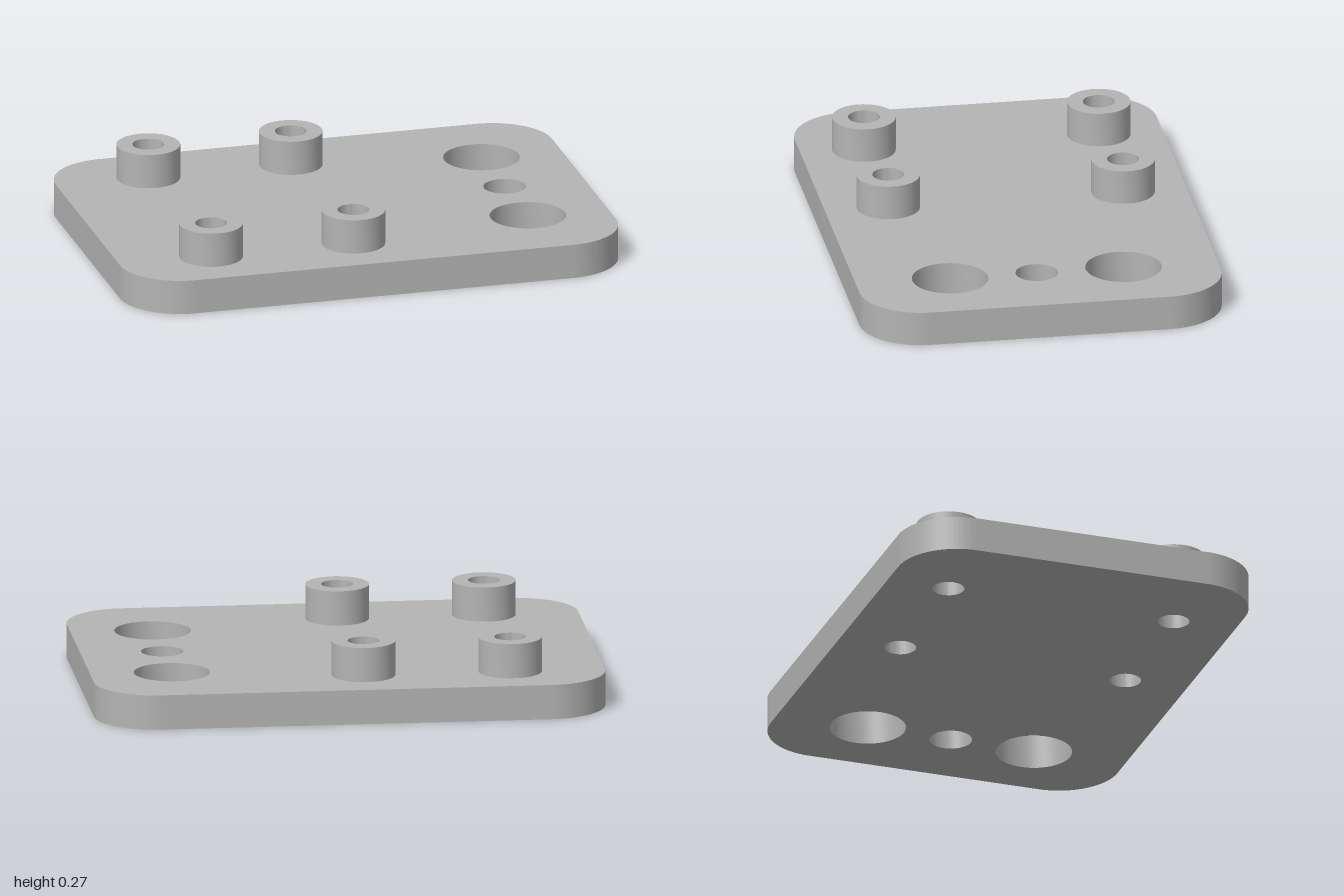
import * as THREE from 'three';
import { toCreasedNormals } from 'three/addons/utils/BufferGeometryUtils.js';

const HALF_X = 1, HALF_Z = 0.713, CORNER = 0.24;
const THICK = 0.137, BOSS_TOP = 0.274;
const BOSS_R = 0.124, BORE_R = 0.062;
const bosses = [-0.63, -0.056].flatMap(x => [-0.463, 0.463].map(z => [x, z]));

// Rounded rectangle, drawn in the plan of the plate
function plateOutline() {
  const s = new THREE.Shape();
  const x = HALF_X - CORNER, z = HALF_Z - CORNER;
  s.absarc(x, z, CORNER, 0, Math.PI / 2);
  s.absarc(-x, z, CORNER, Math.PI / 2, Math.PI);
  s.absarc(-x, -z, CORNER, Math.PI, Math.PI * 1.5);
  s.absarc(x, -z, CORNER, Math.PI * 1.5, Math.PI * 2);
  s.closePath();
  return s;
}

function hole(x, z, r) {
  return new THREE.Path().absarc(x, -z, r, 0, Math.PI * 2, true);
}

export function createModel() {
  const group = new THREE.Group();
  group.name = 'mountingPlate';
  const grey = new THREE.MeshStandardMaterial({ color: 0xb4b4b4 });
  grey.name = 'grey';

  // Plate with three end holes and four bores below the bosses
  const outline = plateOutline();
  outline.holes.push(
    hole(0.68, -0.342, 0.149), hole(0.68, 0, 0.083), hole(0.68, 0.342, 0.149),
    ...bosses.map(([x, z]) => hole(x, z, BORE_R)));
  const plateGeo = new THREE.ExtrudeGeometry(outline, { depth: THICK, bevelEnabled: false, curveSegments: 24 });
  plateGeo.rotateX(-Math.PI / 2);
  const plate = new THREE.Mesh(toCreasedNormals(plateGeo, 0.6), grey);
  plate.name = 'basePlate';
  group.add(plate);

  // Hollow bosses: outer wall, top ring and bore
  const profile = [[BOSS_R, THICK], [BOSS_R, BOSS_TOP], [BORE_R, BOSS_TOP], [BORE_R, THICK]]
    .map(([r, y]) => new THREE.Vector2(r, y));
  const bossGeo = toCreasedNormals(new THREE.LatheGeometry(profile, 48), 0.6);
  bosses.forEach(([x, z], i) => {
    const boss = new THREE.Mesh(bossGeo, grey);
    boss.name = `boss${i + 1}`;
    boss.position.set(x, 0, z);
    group.add(boss);
  });
  return group;
}
